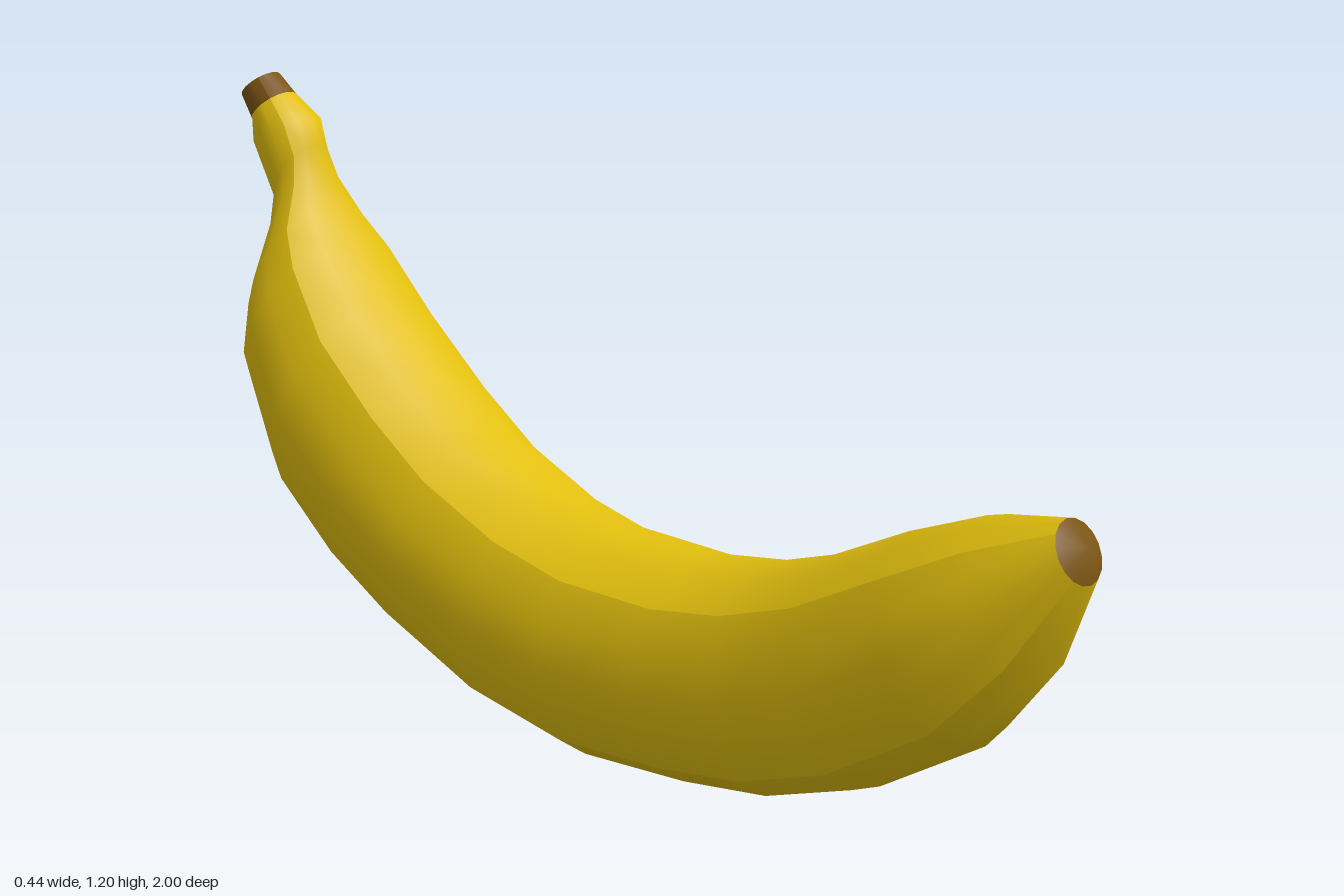
import * as THREE from 'three';
import { mergeGeometries } from 'three/addons/utils/BufferGeometryUtils.js';

const SIDES = 16;

// Cross-sections from blossom tip to stem: inner edge z, y, outer edge z, y, half width
const SECTIONS = [
  [0.945, 0.655, 0.998, 0.55, 0.06],
  [0.79, 0.63, 0.92, 0.37, 0.145],
  [0.63, 0.57, 0.80, 0.22, 0.195],
  [0.47, 0.495, 0.58, 0.09, 0.205],
  [0.32, 0.45, 0.39, 0.03, 0.21],
  [0.17, 0.43, 0.20, 0.01, 0.215],
  [-0.04, 0.44, -0.04, 0.003, 0.217],
  [-0.19, 0.48, -0.28, 0.055, 0.218],
  [-0.36, 0.56, -0.51, 0.16, 0.22],
  [-0.49, 0.66, -0.66, 0.25, 0.22],
  [-0.63, 0.79, -0.80, 0.37, 0.215],
  [-0.72, 0.90, -0.91, 0.58, 0.185],
  [-0.77, 0.96, -0.92, 0.68, 0.145],
  [-0.80, 1.02, -0.895, 0.86, 0.085],
  [-0.815, 1.07, -0.895, 0.94, 0.065],
  [-0.83, 1.12, -0.955, 1.06, 0.07],
  [-0.89, 1.165, -0.965, 1.10, 0.05],
  [-0.93, 1.20, -0.998, 1.145, 0.042],
];

// Point on an elliptical section; side 0 is the inner edge, counting towards +x
function ringPoint([zi, yi, zo, yo, w], j) {
  const a = (j / SIDES) * Math.PI * 2;
  const c = Math.cos(a) / 2;
  return [w * Math.sin(a), (yi + yo) / 2 + (yi - yo) * c, (zi + zo) / 2 + (zi - zo) * c];
}

function toGeometry(positions, index) {
  const g = new THREE.BufferGeometry();
  g.setAttribute('position', new THREE.Float32BufferAttribute(positions, 3));
  g.setIndex(index);
  g.computeVertexNormals();
  return g;
}

// Lofted strip between two sides of the ring, smooth inside and creased at its borders
function strip(sections, from, to) {
  const positions = [], index = [], n = to - from + 1;
  sections.forEach((s, i) => {
    for (let j = from; j <= to; j++) positions.push(...ringPoint(s, j));
    if (i === sections.length - 1) return;
    for (let j = 0; j < n - 1; j++) {
      const a = i * n + j, b = a + n;
      index.push(a, a + 1, b, a + 1, b + 1, b);
    }
  });
  return toGeometry(positions, index);
}

// Four faces meeting in soft ridges along the fruit
function loft(sections) {
  return mergeGeometries([-2, 2, 6, 10].map((j) => strip(sections, j, j + 4)));
}

// Fan closing a section around a centre point
function cap(section, centre, facesFront) {
  const positions = [...centre], index = [];
  for (let j = 0; j < SIDES; j++) {
    positions.push(...ringPoint(section, j));
    const a = j + 1, b = ((j + 1) % SIDES) + 1;
    index.push(0, ...(facesFront ? [b, a] : [a, b]));
  }
  return toGeometry(positions, index);
}

export function createModel() {
  const yellow = new THREE.MeshStandardMaterial({ color: 0xe2bf0e });
  yellow.name = 'yellow peel';
  const brown = new THREE.MeshStandardMaterial({ color: 0x7a5410 });
  brown.name = 'brown ends';

  const model = new THREE.Group();
  model.name = 'banana';
  const add = (name, geometry, material) => {
    const mesh = new THREE.Mesh(geometry, material);
    mesh.name = name;
    model.add(mesh);
  };

  const last = SECTIONS.length - 1;
  add('peel', loft(SECTIONS.slice(0, last)), yellow);

  // Slightly domed blossom end
  add('blossomTip', cap(SECTIONS[0], [0, 0.612, 0.996], true), brown);

  // Cut stem end
  add('stemEnd', loft(SECTIONS.slice(last - 1)), brown);
  add('stemCut', cap(SECTIONS[last], [0, 1.1725, -0.964], false), brown);

  return model;
}
